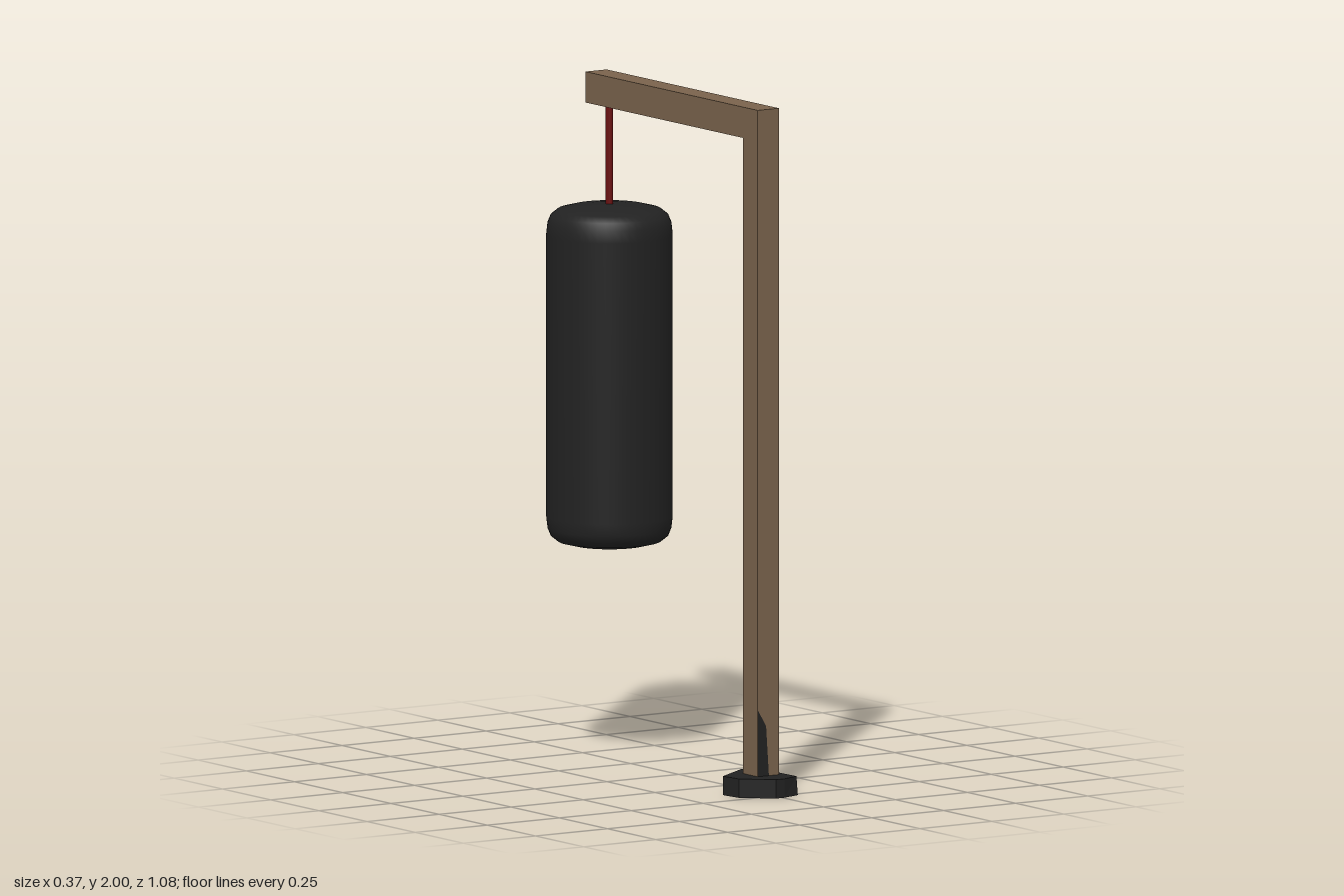
import * as THREE from 'three';

const wood = new THREE.MeshStandardMaterial({ color: 0x7a634c });
wood.name = 'wood';
const black = new THREE.MeshStandardMaterial({ color: 0x222222, side: THREE.DoubleSide });
black.name = 'blackLeather';
const red = new THREE.MeshStandardMaterial({ color: 0x6a1010 });
red.name = 'redRope';

function part(group, name, geometry, material, x = 0, y = 0, z = 0) {
  const mesh = new THREE.Mesh(geometry, material);
  mesh.name = name;
  mesh.position.set(x, y, z);
  group.add(mesh);
  return mesh;
}

// Irregular slab joining a bottom outline to a top outline of [x, z] points
function slab(bottom, top, height) {
  const pos = [];
  const tri = (...corners) => corners.forEach((c) => pos.push(...c));
  const n = bottom.length;
  const b = bottom.map(([x, z]) => [x, 0, z]);
  const t = top.map(([x, z]) => [x, height, z]);
  for (let i = 0; i < n; i++) {
    const j = (i + 1) % n;
    tri(b[i], b[j], t[j]);
    tri(b[i], t[j], t[i]);
    tri([0, height, 0.42], t[i], t[j]);
    tri([0, 0, 0.42], b[j], b[i]);
  }
  const g = new THREE.BufferGeometry();
  g.setAttribute('position', new THREE.Float32BufferAttribute(pos, 3));
  g.computeVertexNormals();
  return g;
}

export function createModel() {
  const group = new THREE.Group();
  group.name = 'punchingBagStand';

  // Wooden post and overhanging arm
  part(group, 'post', new THREE.BoxGeometry(0.074, 1.865, 0.075), wood, 0, 0.9825, 0.426);
  part(group, 'arm', new THREE.BoxGeometry(0.074, 0.09, 0.894), wood, 0, 1.955, 0.017);

  // Rope down to the bag
  part(group, 'rope', new THREE.CylinderGeometry(0.011, 0.011, 0.32, 12), red, 0, 1.755, -0.36);

  // Hanging bag with rounded rims and slightly domed ends
  const rim = [[0, 0.5], [0.06, 0.498], [0.11, 0.493], [0.15, 0.483], [0.17, 0.467], [0.179, 0.445], [0.183, 0.41]];
  const profile = [
    ...rim.map(([r, y]) => new THREE.Vector2(r, -y)),
    ...rim.slice().reverse().map(([r, y]) => new THREE.Vector2(r, y)),
  ];
  part(group, 'bag', new THREE.LatheGeometry(profile, 48), black, 0, 1.121, -0.36);

  // Stone-like foot, sloped on its left side
  const bottom = [[-0.115, 0.4], [-0.105, 0.47], [-0.025, 0.54], [0.005, 0.54],
    [0.065, 0.52], [0.095, 0.357], [0.035, 0.328], [0.005, 0.315]];
  const top = bottom.map(([x, z]) => [x, z]);
  top[4] = [0.062, 0.517];
  top[5] = [0.055, 0.338];
  part(group, 'foot', slab(bottom, top, 0.055), black);

  // Dark splinter on the lower front of the post
  const chip = new THREE.Shape([
    new THREE.Vector2(-0.037, 0.05), new THREE.Vector2(0.002, 0.05),
    new THREE.Vector2(-0.008, 0.2), new THREE.Vector2(-0.037, 0.25),
  ]);
  part(group, 'postChip', new THREE.ShapeGeometry(chip), black, 0, 0, 0.4645);

  return group;
}
